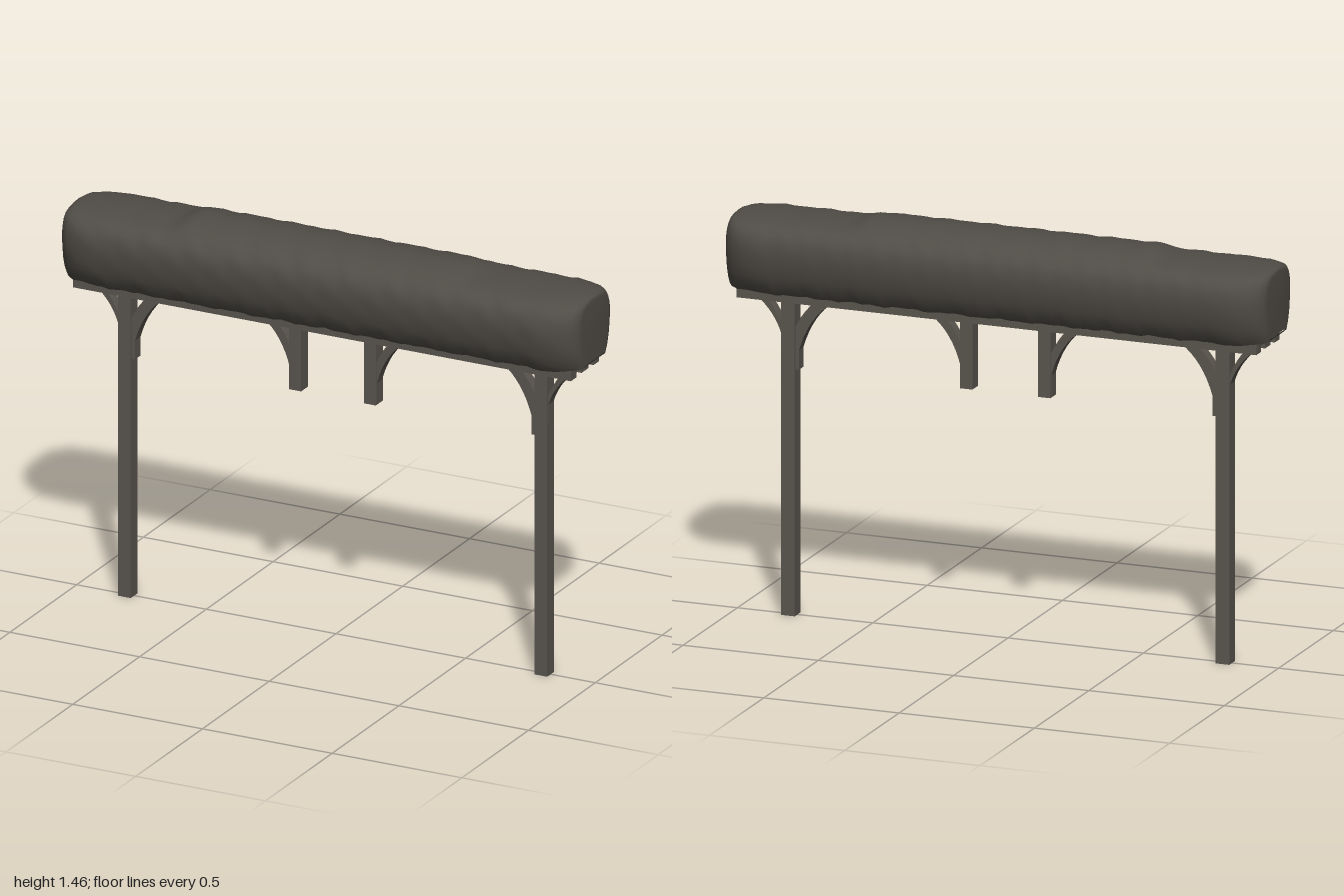
import * as THREE from 'three';

const wood = new THREE.MeshStandardMaterial({ color: 0x5a554e });
wood.name = 'weathered wood';
const thatch = new THREE.MeshStandardMaterial({ color: 0x504c46 });
thatch.name = 'dark canopy';

// Canopy cross-section as [z, y], from the lower front edge to the ridge
const half = [[0.135, 1.175], [0.158, 1.205], [0.173, 1.24], [0.184, 1.28], [0.189, 1.325],
  [0.186, 1.365], [0.172, 1.395], [0.148, 1.413], [0.11, 1.425], [0.055, 1.431], [0, 1.433]];
const section = [...half, ...half.slice(0, -1).reverse().map(([z, y]) => [-z, y])];

// Rounded ends as [x, width scale, height scale]
const ends = [[1, 0.52, 0.84], [0.994, 0.64, 0.92], [0.98, 0.75, 0.965], [0.955, 0.86, 0.985],
  [0.915, 0.95, 1], [0.86, 1, 1]];
const stations = ends.map(([x, w, h]) => [-x, w, h]);
for (let i = 1; i < 60; i++) stations.push([-0.86 + i * 1.72 / 60, 1, 1]);
stations.push(...[...ends].reverse());

// Raised, slightly uneven surface of the canopy
function canopyPoint([x, w, h], [z, y]) {
  const rise = THREE.MathUtils.smoothstep(0.58 - Math.abs(x + 0.02), 0, 0.07);
  const crown = y > 1.4 ? 0.022 * rise * Math.max(0, 1 - (z / 0.165) ** 2) : 0;
  const rough = 0.0018 * (Math.sin(x * 41 + y * 60) + Math.sin(x * 73 - z * 50));
  const fringe = y < 1.21 ? 0.004 * Math.sin(x * 57) * Math.sin(x * 23 + z * 9) : 0;
  return [x, 1.305 + (y - 1.305) * h + crown + rough * 0.6 + fringe, z * w * (1 + rough * 4)];
}

// Skin a strip of profile points along the stations, optionally closing the ends
function loft(profile, capped) {
  const pos = [], index = [], n = profile.length, last = stations.length - 1;
  stations.forEach(s => profile.forEach(p => pos.push(...canopyPoint(s, p))));
  for (let i = 0; i < last; i++) {
    for (let j = 0; j < n - 1; j++) {
      const a = i * n + j, c = a + n;
      index.push(a, c, a + 1, a + 1, c, c + 1);
    }
  }
  if (capped) {
    const centre = pos.length / 3;
    pos.push(-1, 1.305, 0, 1, 1.305, 0);
    for (let j = 0; j < n; j++) {
      const k = (j + 1) % n;
      index.push(centre, j, k, centre + 1, last * n + k, last * n + j);
    }
  }
  const g = new THREE.BufferGeometry();
  g.setAttribute('position', new THREE.Float32BufferAttribute(pos, 3));
  g.setIndex(index);
  g.computeVertexNormals();
  return g;
}

// Curved brace: root is its post face, dir its outward direction
function braceGeometry(root, dir, foot, toe, reachOut, reachIn) {
  const s = new THREE.Shape();
  const X = d => root + dir * d;
  s.moveTo(X(-0.005), foot);
  s.lineTo(X(toe), foot);
  s.lineTo(X(toe), foot + 0.07);
  s.quadraticCurveTo(X(toe + reachOut * 0.25), 1.1, X(reachOut), 1.15);
  s.lineTo(X(reachIn), 1.15);
  s.quadraticCurveTo(X(reachIn * 0.3), 1.1, X(-0.005), 1.02);
  s.closePath();
  const g = new THREE.ExtrudeGeometry(s, { depth: 0.04, bevelEnabled: false, curveSegments: 10 });
  return g.translate(0, 0, -0.02);
}

export function createModel() {
  const model = new THREE.Group();
  model.name = 'canopy shelter';

  function add(name, geometry, material, x = 0, y = 0, z = 0) {
    const mesh = new THREE.Mesh(geometry, material);
    mesh.name = name;
    mesh.position.set(x, y, z);
    model.add(mesh);
  }

  // Canopy shell and its flat underside
  add('canopy', loft(section, true), thatch);
  const under = [-1, -0.5, 0, 0.5, 1].map(t => [t * 0.135, 1.175]);
  add('canopyUnderside', loft(under, false), thatch);

  // Long beams beneath the canopy
  add('centreBeam', new THREE.BoxGeometry(1.92, 0.04, 0.05), wood, 0, 1.163, 0);
  for (const z of [-0.085, 0.085]) {
    add('sideBeam', new THREE.BoxGeometry(1.92, 0.045, 0.042), wood, 0, 1.163, z);
  }

  for (const side of [-1, 1]) {
    // Tall post with an inner and an outer brace
    add('post', new THREE.BoxGeometry(0.05, 1.16, 0.052), wood, side * 0.803, 0.58, 0);
    add('innerBrace', braceGeometry(side * 0.778, -side, 0.88, 0.014, 0.175, 0.1), wood);
    add('outerBrace', braceGeometry(side * 0.828, side, 0.93, 0.001, 0.13, 0.08), wood);
    // Short hanging post with its brace
    add('hangingPost', new THREE.BoxGeometry(0.046, 0.28, 0.052), wood, side * 0.144, 1.02, 0);
    add('hangingBrace', braceGeometry(side * 0.165, side, 0.89, 0.003, 0.15, 0.085), wood);
  }
  return model;
}
